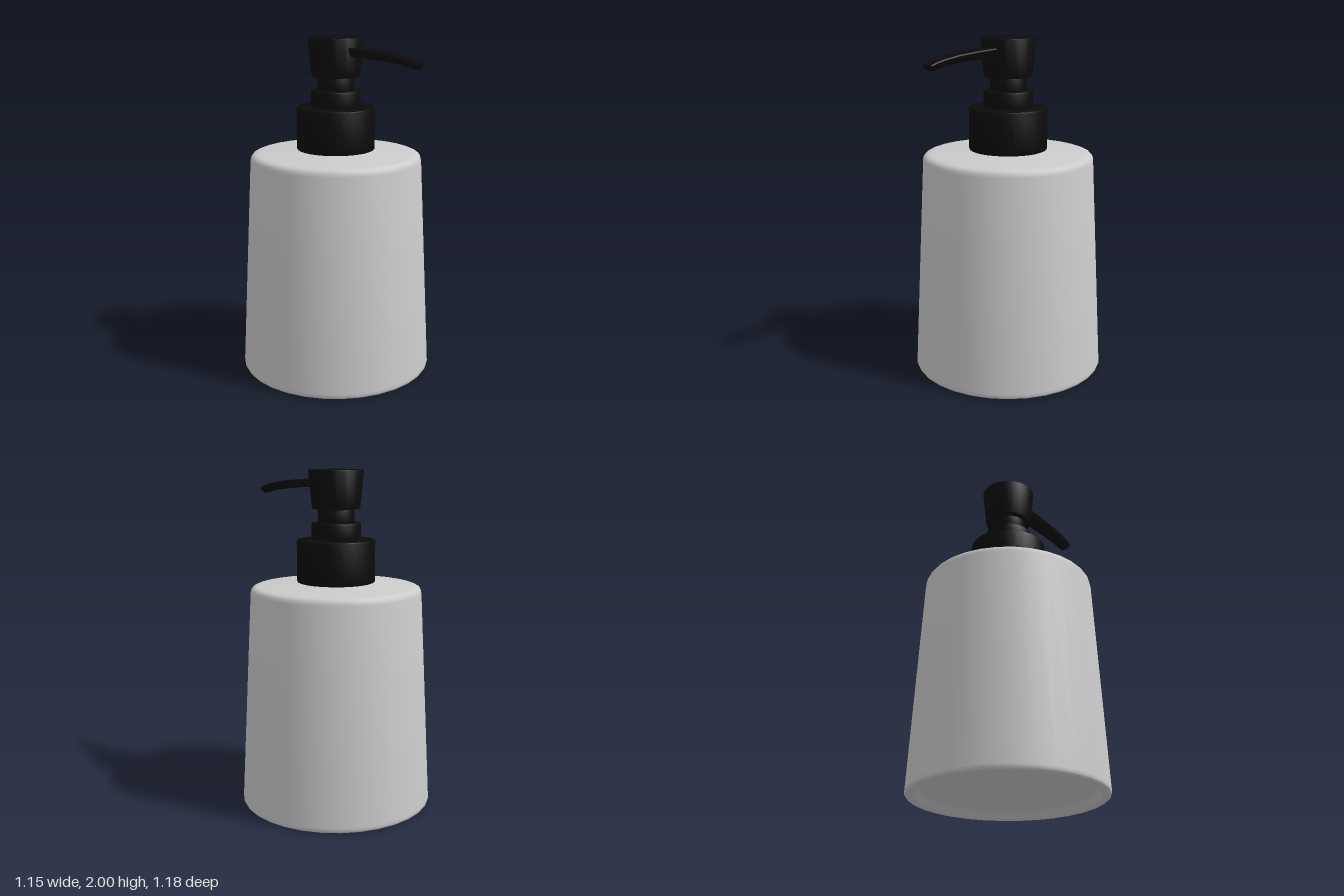
import * as THREE from 'three';
import { toCreasedNormals } from 'three/addons/utils/BufferGeometryUtils.js';

const AXIS_Z = -0.016;

// Revolve a [radius, height] profile listed from bottom to top
function lathe(name, profile, segments, material) {
  const points = profile.map(([r, y]) => new THREE.Vector2(r, y));
  const geometry = toCreasedNormals(new THREE.LatheGeometry(points, segments), 0.65);
  const mesh = new THREE.Mesh(geometry, material);
  mesh.name = name;
  mesh.position.z = AXIS_Z;
  return mesh;
}

// Solid ring or plug with small bevels at both ends
function bevelled(name, r0, r1, y0, y1, b, material) {
  return lathe(name, [
    [0, y0], [r0 - b, y0], [r0 - b * 0.3, y0 + b * 0.3], [r0, y0 + b],
    [r1, y1 - b], [r1 - b * 0.3, y1 - b * 0.3], [r1 - b, y1], [0, y1],
  ], 32, material);
}

// Tapered, drooping spout lofted through trapezoid sections
function spoutGeometry() {
  // top z, top y, bottom z, bottom y, half width
  const sections = [
    [0.05, 1.947, 0.05, 1.893, 0.059],
    [0.16, 1.945, 0.16, 1.895, 0.057],
    [0.28, 1.937, 0.28, 1.890, 0.053],
    [0.40, 1.926, 0.395, 1.881, 0.049],
    [0.50, 1.910, 0.49, 1.869, 0.044],
    [0.56, 1.895, 0.545, 1.858, 0.040],
    [0.592, 1.882, 0.570, 1.850, 0.037],
  ];
  // corners as [side, drop], counter-clockwise seen from the tip
  const corners = [[-0.9, 0], [-1, 0.15], [-0.75, 0.88], [-0.62, 1],
    [0.62, 1], [0.75, 0.88], [1, 0.15], [0.9, 0]];
  const n = corners.length;
  const position = [];
  const index = [];
  for (const [tz, ty, bz, by, w] of sections) {
    for (const [s, d] of corners) {
      position.push(s * w, ty + (by - ty) * d, tz + (bz - tz) * d);
    }
  }
  for (let i = 0; i < sections.length - 1; i++) {
    for (let j = 0; j < n; j++) {
      const a = i * n + j;
      const b = i * n + (j + 1) % n;
      index.push(a, b, b + n, a, b + n, a + n);
    }
  }
  // end caps
  const last = (sections.length - 1) * n;
  for (let j = 1; j < n - 1; j++) {
    index.push(last, last + j, last + j + 1);
    index.push(0, j + 1, j);
  }
  const geometry = new THREE.BufferGeometry();
  geometry.setAttribute('position', new THREE.Float32BufferAttribute(position, 3));
  geometry.setIndex(index);
  return toCreasedNormals(geometry, 0.5);
}

export function createModel() {
  const model = new THREE.Group();
  model.name = 'soapDispenser';
  const grey = new THREE.MeshStandardMaterial({ color: 0xcccccc });
  const black = new THREE.MeshStandardMaterial({ color: 0x0b0b0b });

  // Tapered bottle with a recessed base and rounded shoulder
  model.add(lathe('bottle', [
    [0, 0.04], [0.475, 0.04], [0.495, 0.03], [0.515, 0.006], [0.53, 0],
    [0.558, 0], [0.568, 0.006], [0.573, 0.016], [0.572, 0.032],
    [0.506, 1.285], [0.502, 1.304], [0.492, 1.317], [0.476, 1.324], [0.455, 1.327],
    [0.235, 1.340], [0.205, 1.344], [0.2, 1.36], [0, 1.36],
  ], 32, grey));

  // Pump: screw collar, guide ring, stem and press head
  const pump = new THREE.Group();
  pump.name = 'pump';
  pump.add(bevelled('collar', 0.231, 0.231, 1.345, 1.598, 0.01, black));
  pump.add(bevelled('guideRing', 0.145, 0.145, 1.59, 1.697, 0.012, black));
  pump.add(bevelled('stem', 0.107, 0.107, 1.69, 1.79, 0.004, black));
  pump.add(bevelled('pressHead', 0.141, 0.162, 1.773, 2.0, 0.008, black));

  const spout = new THREE.Mesh(spoutGeometry(), black);
  spout.name = 'spout';
  pump.add(spout);
  model.add(pump);
  return model;
}
